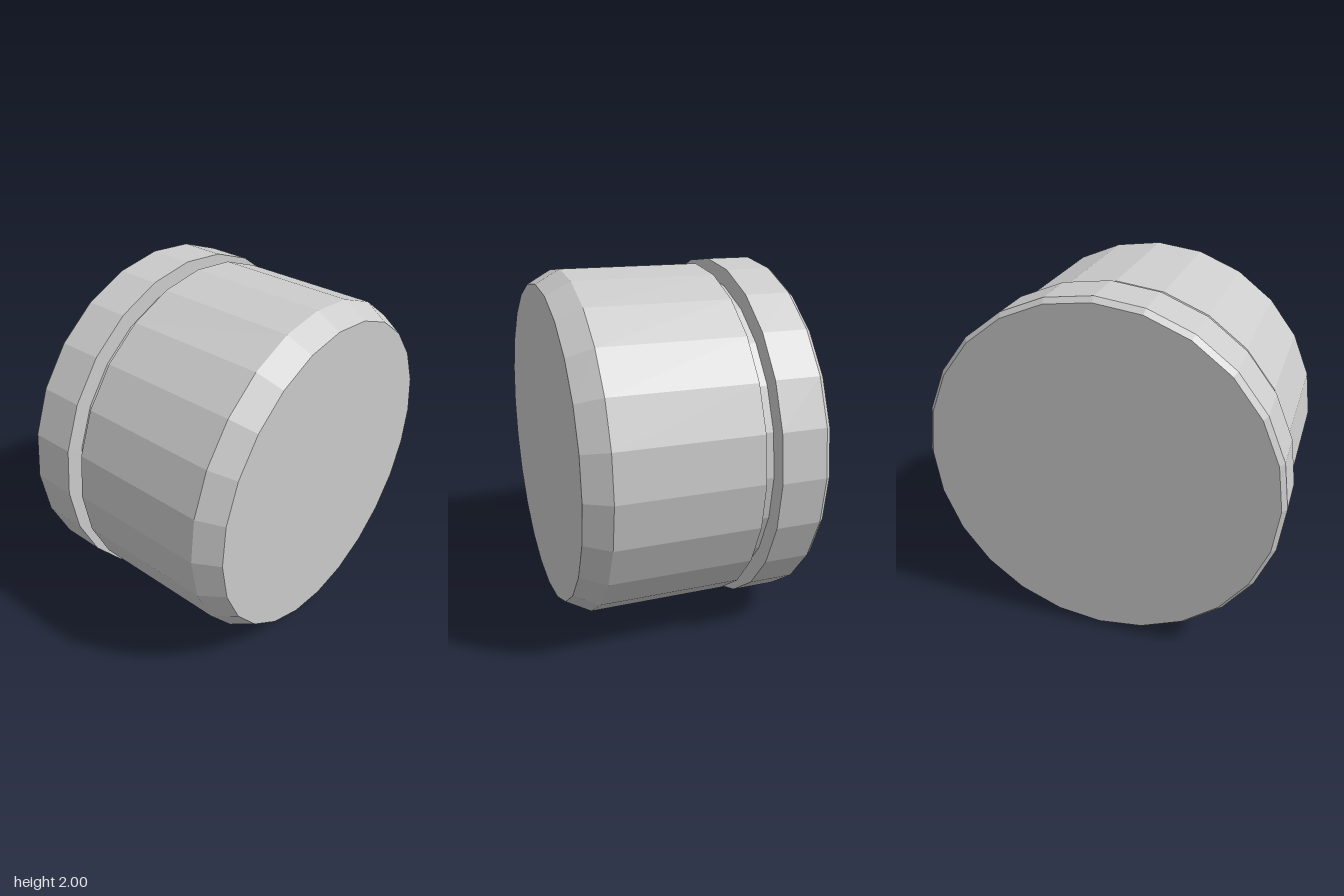
import * as THREE from 'three';

const SIDES = 24;
const material = new THREE.MeshStandardMaterial({ color: 0xcccccc, flatShading: true });

// Turned part along z from [radius, z] pairs, listed back to front
function turned(name, profile) {
  const points = profile.map(([r, z]) => new THREE.Vector2(r, z));
  const geometry = new THREE.LatheGeometry(points, SIDES);
  geometry.rotateX(Math.PI / 2);
  const mesh = new THREE.Mesh(geometry, material);
  mesh.name = name;
  mesh.position.y = 1;
  return mesh;
}

export function createModel() {
  const group = new THREE.Group();
  group.name = 'lidded drum';

  // Wide rear disc with a small bevel on its outer edge
  group.add(turned('rearCap', [
    [0, -0.64], [0.975, -0.64], [1, -0.61], [1, -0.36], [0, -0.36],
  ]));

  // Recessed neck, flared shoulder, drum and bevelled front face
  group.add(turned('body', [
    [0, -0.38], [0.905, -0.38], [0.905, -0.315], [0.975, -0.285],
    [0.975, 0.505], [0.9, 0.64], [0, 0.64],
  ]));

  return group;
}
